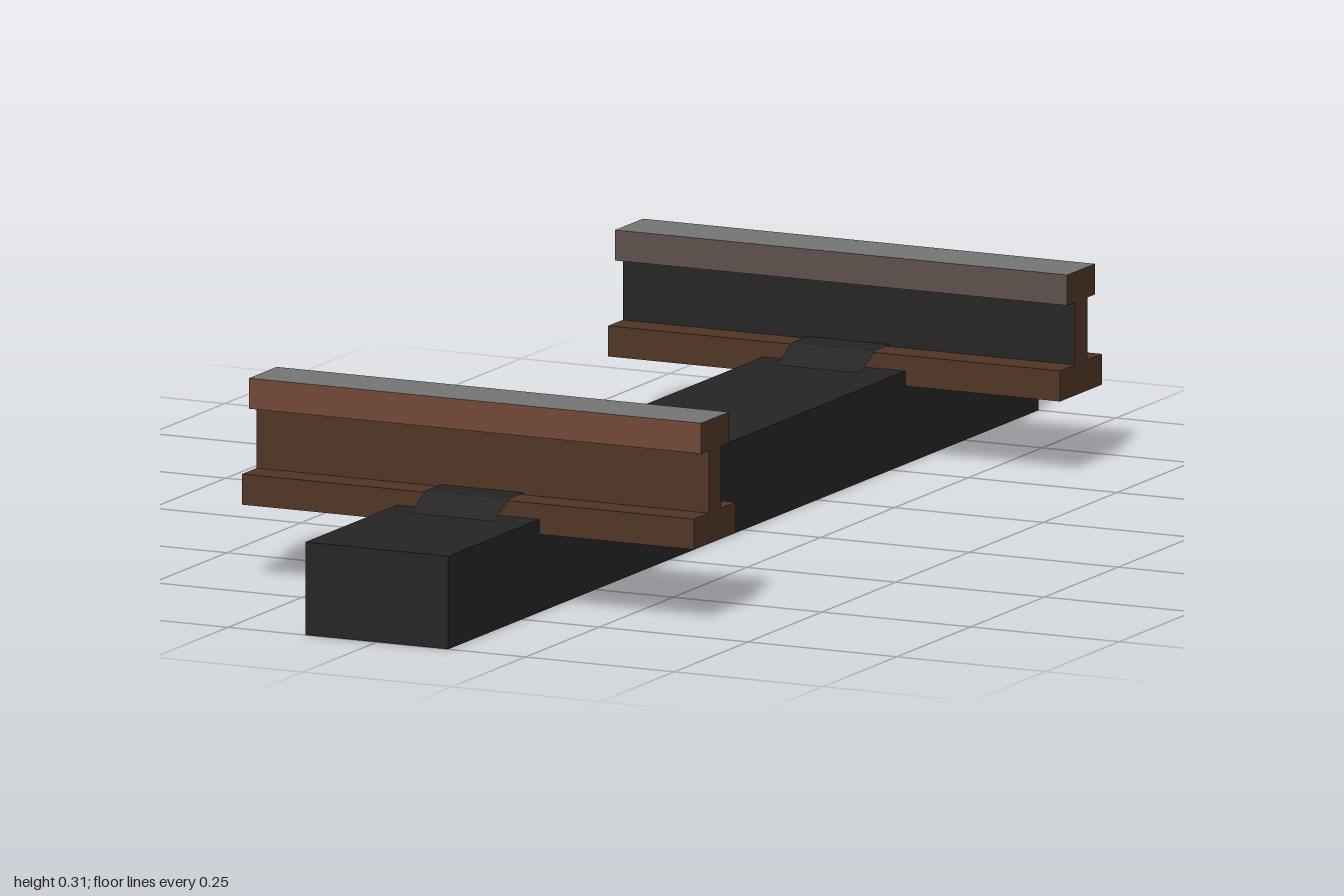
import * as THREE from 'three';

const mat = (name, color, extra = {}) => {
  const m = new THREE.MeshStandardMaterial({ color, ...extra });
  m.name = name;
  return m;
};

// Box placed by its height range; depth is centred on z = 0
function block(name, width, y0, y1, depth, material) {
  const mesh = new THREE.Mesh(new THREE.BoxGeometry(width, y1 - y0, depth), material);
  mesh.position.y = (y0 + y1) / 2;
  mesh.name = name;
  return mesh;
}

// Thin bent plate: a (z, y) profile swept across x
function bentPlate(name, halfWidth, profile, material) {
  const pos = [], index = [];
  profile.forEach(([z, y], i) => {
    pos.push(-halfWidth, y, z, halfWidth, y, z);
    if (i) {
      const a = 2 * i - 2;
      index.push(a, a + 2, a + 1, a + 1, a + 2, a + 3);
    }
  });
  const indexed = new THREE.BufferGeometry();
  indexed.setAttribute('position', new THREE.Float32BufferAttribute(pos, 3));
  indexed.setIndex(index);
  const geo = indexed.toNonIndexed();
  geo.computeVertexNormals();
  const mesh = new THREE.Mesh(geo, material);
  mesh.name = name;
  return mesh;
}

export function createModel() {
  const tar = mat('tarredWood', 0x242424, { side: THREE.DoubleSide });
  const rust = mat('brownRust', 0x503524);
  const red = mat('redRust', 0x734837);
  const worn = mat('wornRust', 0x5e504b);
  const steel = mat('polishedSteel', 0x737675);

  const model = new THREE.Group();
  model.name = 'trackSection';
  model.add(block('sleeper', 0.24, 0, 0.143, 2, tar));

  // Each rail is built with its outer side at +z, then turned for the far side
  for (const side of [1, -1]) {
    const rail = new THREE.Group();
    rail.name = side > 0 ? 'frontRail' : 'backRail';

    // Material order: +x, -x, top, bottom, outer, inner
    rail.add(block('foot', 0.76, 0.12, 0.167, 0.142, rust));
    rail.add(block('web', 0.76, 0.167, 0.263, 0.042, [rust, rust, rust, rust, rust, tar]));
    rail.add(block('head', 0.76, 0.263, 0.31, 0.094, [rust, rust, steel, rust, red, worn]));

    // Clips lie over the foot and slope down to the sleeper
    for (const s of [1, -1]) {
      const clip = bentPlate('railClip', 0.07, [[0.021, 0.17], [0.073, 0.17], [0.124, 0.145]], tar);
      clip.rotation.y = s > 0 ? 0 : Math.PI;
      rail.add(clip);
    }

    rail.position.z = 0.62 * side;
    rail.rotation.y = side > 0 ? 0 : Math.PI;
    model.add(rail);
  }
  return model;
}
